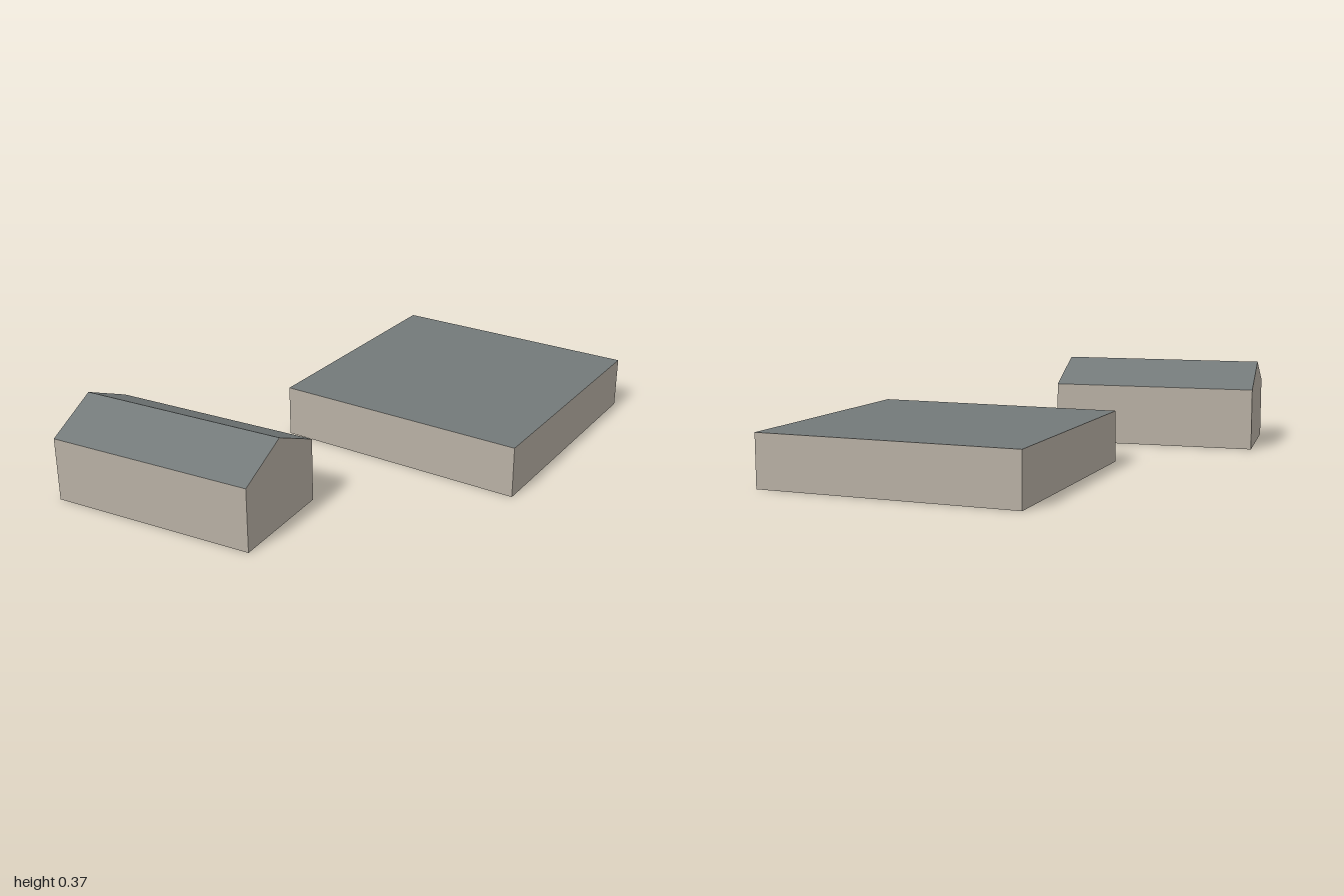
import * as THREE from 'three';

// Flat faces: each is a list of corners, counter-clockwise from outside, fanned into triangles.
function faceGeometry(faces) {
  const pos = [];
  for (const f of faces) {
    for (let i = 1; i < f.length - 1; i++) pos.push(...f[0], ...f[i], ...f[i + 1]);
  }
  const g = new THREE.BufferGeometry();
  g.setAttribute('position', new THREE.Float32BufferAttribute(pos, 3));
  g.computeVertexNormals();
  return g;
}

const at = ([x, z], y) => [x, y, z];
const mid = (a, b) => [(a[0] + b[0]) / 2, (a[1] + b[1]) / 2];

export function createModel() {
  const wallMat = new THREE.MeshStandardMaterial({ color: 0xb8b0a4, side: THREE.DoubleSide });
  wallMat.name = 'beigeWall';
  const roofMat = new THREE.MeshStandardMaterial({ color: 0x737979, side: THREE.DoubleSide });
  roofMat.name = 'greyRoof';

  const model = new THREE.Group();
  model.name = 'buildings';

  // Footprint corners [x, z]: front left, front right, back right, back left.
  // A rise above zero gives end gables with a ridge along x; the underside stays open.
  function addBuilding(name, plan, eaves, rise) {
    const [fl, fr, br, bl] = plan;
    const walls = plan.map((p, i) => {
      const q = plan[(i + 1) % 4];
      const face = [at(p, 0), at(q, 0), at(q, eaves)];
      if (rise > 0 && i % 2 === 1) face.push(at(mid(p, q), eaves + rise));
      face.push(at(p, eaves));
      return face;
    });

    const ridgeL = at(mid(fl, bl), eaves + rise);
    const ridgeR = at(mid(fr, br), eaves + rise);
    const roof = rise > 0
      ? [[at(fl, eaves), at(fr, eaves), ridgeR, ridgeL],
         [at(br, eaves), at(bl, eaves), ridgeL, ridgeR]]
      : [plan.map((p) => at(p, eaves))];

    const group = new THREE.Group();
    group.name = name;
    const wallMesh = new THREE.Mesh(faceGeometry(walls), wallMat);
    wallMesh.name = 'walls';
    const roofMesh = new THREE.Mesh(faceGeometry(roof), roofMat);
    roofMesh.name = 'roof';
    group.add(wallMesh, roofMesh);
    model.add(group);
  }

  addBuilding('flatRoofHall',
    [[-0.32, 0.05], [0.755, 0.117], [0.822, -0.935], [-0.253, -1]], 0.217, 0);
  addBuilding('gableHouse',
    [[-0.8, 1], [0.075, 0.977], [0.075, 0.517], [-0.822, 0.536]], 0.267, 0.105);

  return model;
}
